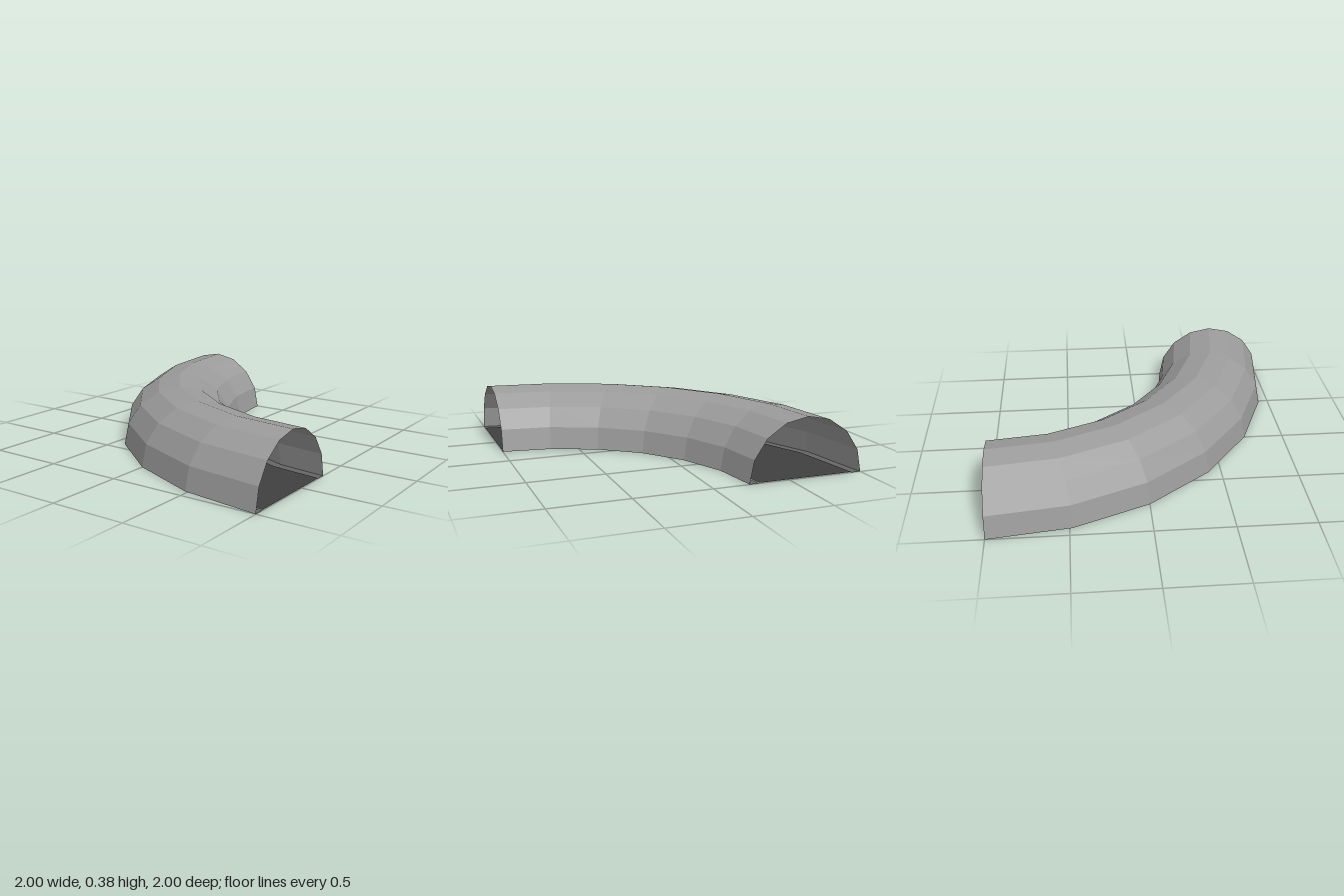
import * as THREE from 'three';

const SEGMENTS = 6;      // steps around the quarter turn
const MID = 1.617;       // bend radius of the tunnel's centre line
const RADIUS = 0.383;    // half width of the tunnel

function material(name, color) {
  const m = new THREE.MeshStandardMaterial({ color, flatShading: true, side: THREE.DoubleSide });
  m.name = name;
  return m;
}

// Sweeps a profile of [radius, height] points through the quarter bend
function sweep(name, profile, mat) {
  const points = profile.map(([r, y]) => new THREE.Vector2(r, y));
  const mesh = new THREE.Mesh(new THREE.LatheGeometry(points, SEGMENTS, Math.PI, Math.PI / 2), mat);
  mesh.name = name;
  mesh.position.set(1, 0, 1);
  return mesh;
}

export function createModel() {
  const group = new THREE.Group();
  group.name = 'curvedTunnel';
  const shellGrey = material('shell grey', 0x9c9c9c);
  const kerbGrey = material('kerb grey', 0x666666);
  const floorGrey = material('floor dark grey', 0x404040);

  // Half-round roof, open at both ends
  const arch = [];
  for (let i = 0; i <= 8; i++) {
    const a = (i / 8) * Math.PI;
    arch.push([MID + RADIUS * Math.cos(a), RADIUS * Math.sin(a)]);
  }
  group.add(sweep('shell', arch, shellGrey));

  // Floor between two narrow kerbs
  const edge = RADIUS - 0.065;
  group.add(sweep('floor', [[MID + edge, 0.004], [MID - edge, 0.004]], floorGrey));
  group.add(sweep('outerKerb', [[MID + RADIUS, 0], [MID + edge, 0], [MID + edge, 0.008]].slice(0, 2), kerbGrey));
  group.add(sweep('innerKerb', [[MID - edge, 0], [MID - RADIUS, 0]], kerbGrey));
  return group;
}
